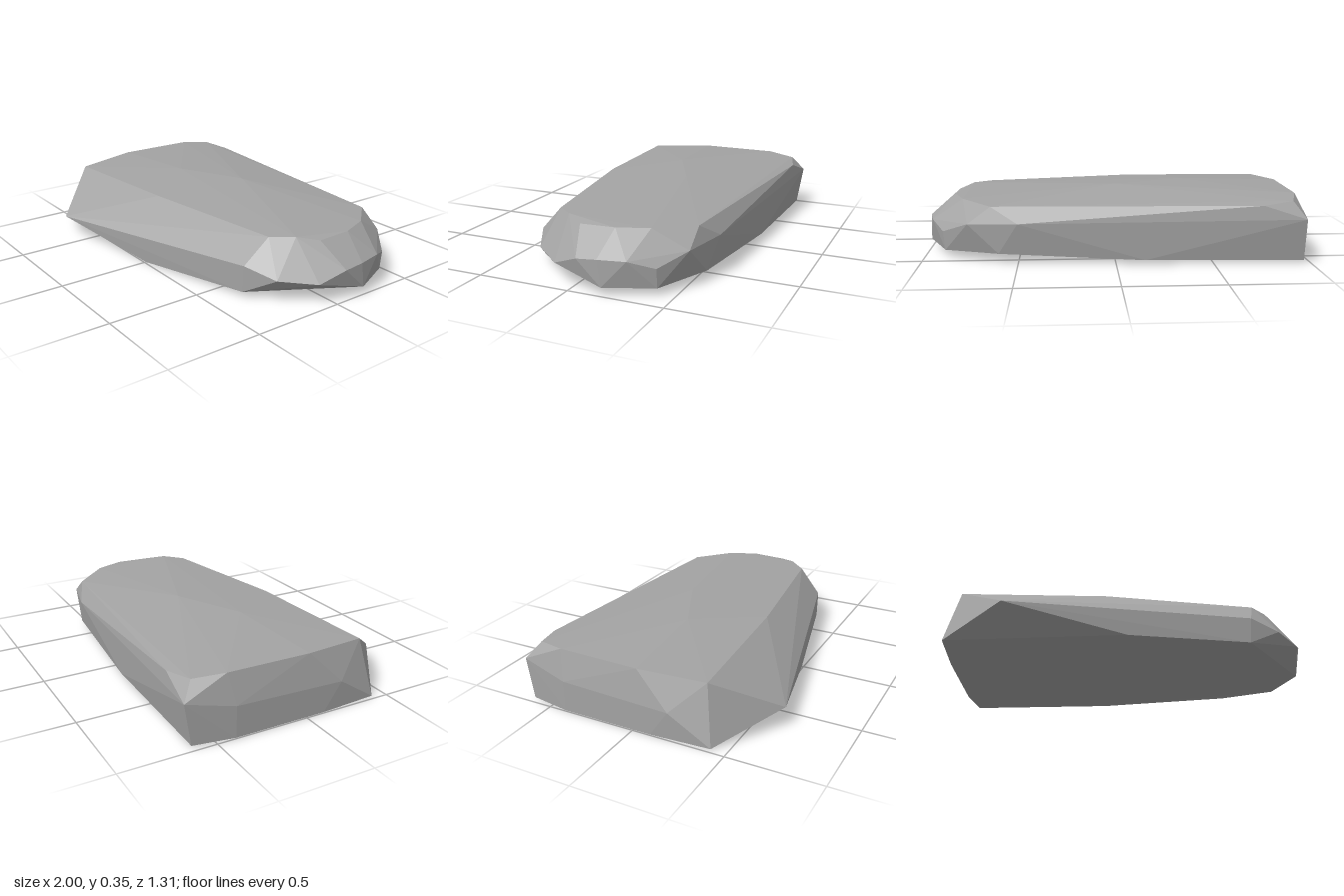
import * as THREE from 'three';
import { ConvexGeometry } from 'three/addons/geometries/ConvexGeometry.js';

export function createModel() {
  const model = new THREE.Group();
  model.name = 'flatRock';
  const stone = new THREE.MeshStandardMaterial({ color: 0xa3a3a3, flatShading: true });
  stone.name = 'grey stone';

  // gently domed top and its rim
  const top = [
    [-0.4, 0.35, -0.02], [-0.02, 0.35, -0.2], [-0.97, 0.33, 0.02], [-0.96, 0.33, -0.43],
    [-0.91, 0.31, 0.37], [-0.12, 0.32, 0.32], [0.7, 0.31, 0.2], [0.79, 0.315, 0.1],
    [0.86, 0.295, 0], [0.86, 0.3, -0.19], [0.8, 0.3, -0.35], [0.64, 0.29, -0.53],
    [-0.91, 0.315, -0.59], [-0.75, 0.3, -0.635],
  ];
  // widest girdle around the sides
  const girdle = [
    [-0.64, 0.115, 0.655], [0.67, 0.175, 0.33], [0.83, 0.13, 0.25], [0.96, 0.115, 0.09],
    [1, 0.17, -0.05], [1, 0.18, -0.16], [0.97, 0.18, -0.3], [0.9, 0.14, -0.42],
    [0.76, 0.2, -0.53], [0.5, 0.21, -0.592], [-0.97, 0.23, -0.655], [-1, 0.17, -0.4], [-1, 0.15, 0.2],
  ];
  // nearly flat underside
  const base = [
    [-0.98, 0.005, 0.42], [0, 0, 0.49], [0.66, 0.03, 0.33], [1, 0.045, -0.18],
    [0.89, 0.04, -0.42], [0.6, 0.05, -0.56], [-0.15, 0.02, -0.615], [-0.97, 0.01, -0.62],
    [-1, 0.005, 0.1], [-1, 0.005, -0.4], [0.1, 0, -0.3],
  ];

  const points = [...top, ...girdle, ...base].map((p) => new THREE.Vector3(...p));
  const rock = new THREE.Mesh(new ConvexGeometry(points), stone);
  rock.name = 'rock';
  model.add(rock);
  return model;
}
